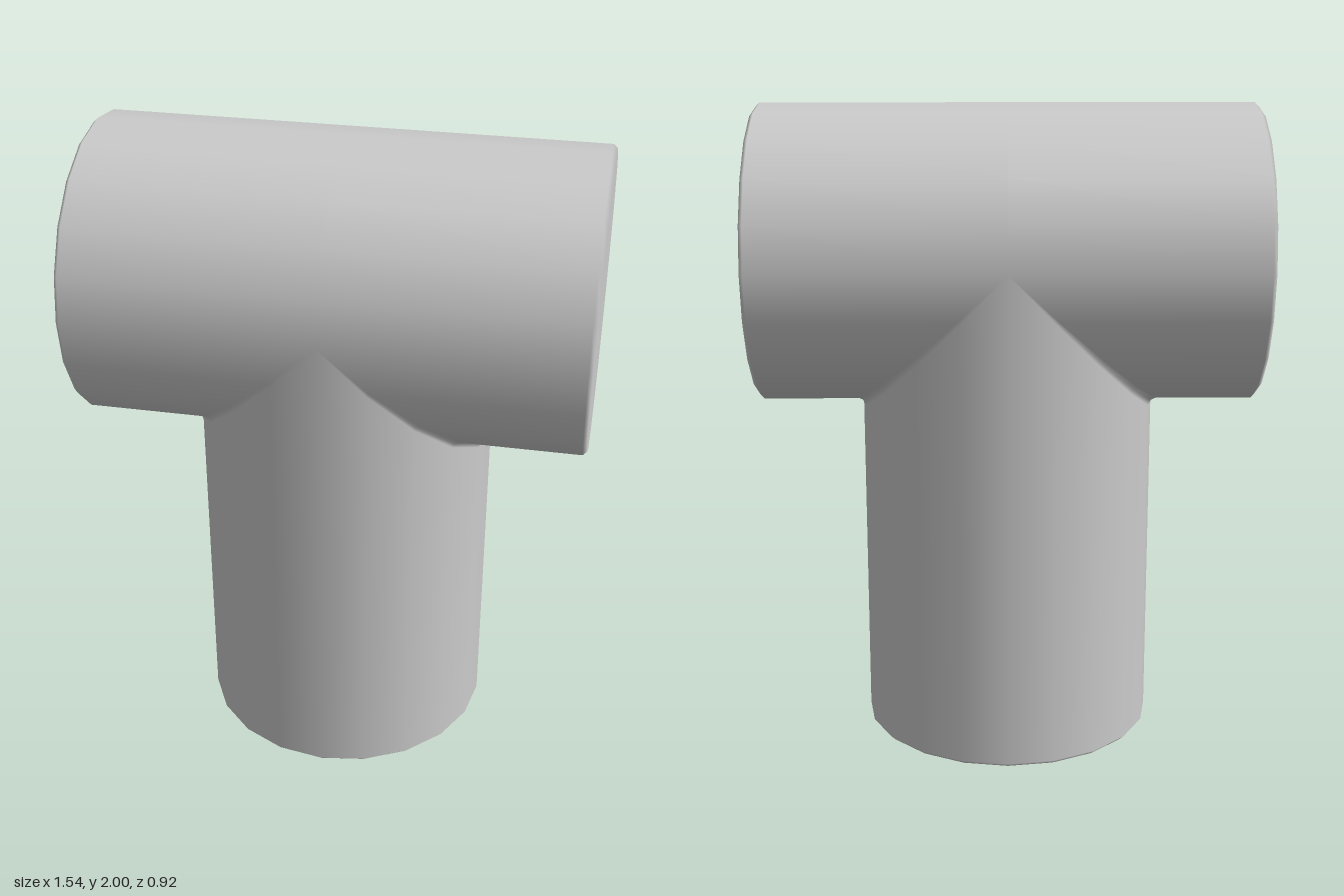
import * as THREE from 'three';

const R = 0.46;        // pipe radius
const SIDES = 20;
const BEVEL = 0.012;   // rounded rim at the capped ends
const FILLET = 0.025;  // soft blend where the pipes meet
const AXIS_Y = 2 - R;  // height of the junction centre

// One capped arm along local +x. cut(u) gives the mitre position for cross-section height u.
function armGeometry(length, cut) {
  const positions = [], normals = [], index = [];
  // each ring maps a unit direction (c, s) to [point, normal]
  const flat = (t, r) => (c, s) => [[t, r * c, r * s], [1, 0, 0]];
  const round = (t) => (c, s) => [[t, R * c, R * s], [0, c, s]];
  const blendStart = (c, s) => {
    const t = cut(R * c);
    return [[t + FILLET * t / R, R * c, R * s], [0, c, s]];
  };
  const mitre = (c, s) => {
    const t = cut(R * c), k = t > 1e-6 ? 1 + 0.3 * FILLET / R : 1;
    const n = t > 1e-6 ? [t, R * c, 2 * R * s] : [0, c, s];
    return [[t * k, R * c * k, R * s], new THREE.Vector3(...n).normalize().toArray()];
  };
  const rings = [flat(length, 0), flat(length, R - BEVEL), round(length - BEVEL), blendStart, mitre];

  rings.forEach((ring, j) => {
    for (let i = 0; i <= SIDES; i++) {
      const a = (i / SIDES) * Math.PI * 2;
      const [p, n] = ring(Math.cos(a), Math.sin(a));
      positions.push(...p);
      normals.push(...n);
      if (j < rings.length - 1 && i < SIDES) {
        const q = j * (SIDES + 1) + i, w = q + SIDES + 1;
        index.push(q, w, q + 1, w, w + 1, q + 1);
      }
    }
  });
  const g = new THREE.BufferGeometry();
  g.setAttribute('position', new THREE.Float32BufferAttribute(positions, 3));
  g.setAttribute('normal', new THREE.Float32BufferAttribute(normals, 3));
  g.setIndex(index);
  return g;
}

export function createModel() {
  const group = new THREE.Group();
  group.name = 'teePipe';
  const material = new THREE.MeshStandardMaterial({ color: 0xcccccc });
  const v = (x, y, z) => new THREE.Vector3(x, y, z);

  const addArm = (name, geometry, along, across) => {
    const basis = new THREE.Matrix4().makeBasis(along, across, along.clone().cross(across));
    const mesh = new THREE.Mesh(geometry, material);
    mesh.name = name;
    mesh.quaternion.setFromRotationMatrix(basis);
    mesh.position.y = AXIS_Y;
    group.add(mesh);
  };

  // crossbar: two halves, open underneath where the stem joins
  const half = armGeometry(0.77, (u) => Math.max(0, u));
  addArm('leftArm', half, v(1, 0, 0), v(0, -1, 0));
  addArm('rightArm', half, v(-1, 0, 0), v(0, -1, 0));

  // stem: rises to a pointed saddle against the crossbar
  addArm('stem', armGeometry(AXIS_Y, Math.abs), v(0, -1, 0), v(1, 0, 0));

  return group;
}
